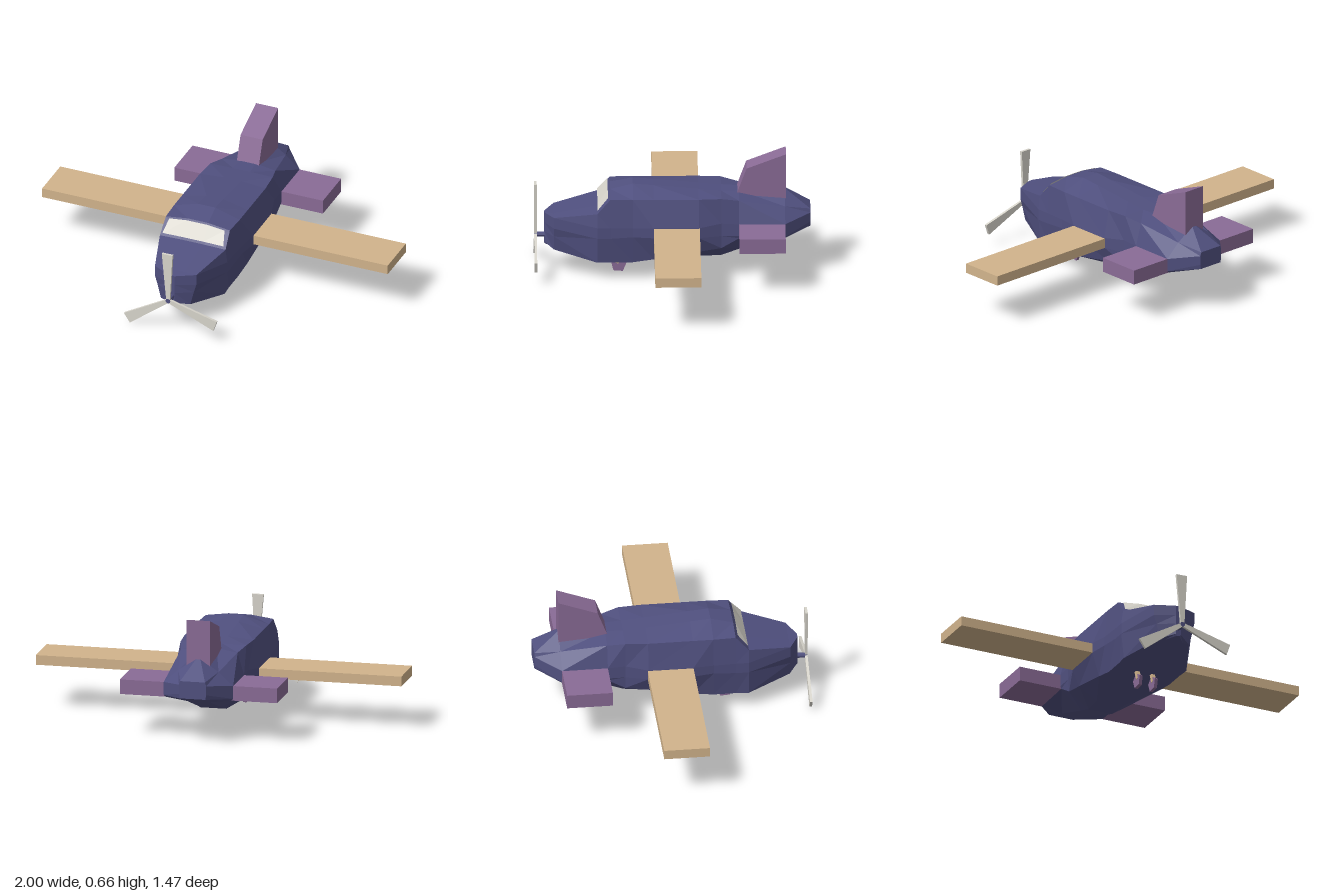
import * as THREE from 'three';

const mat = (name, color, extra = {}) => {
  const m = new THREE.MeshStandardMaterial({ color, flatShading: true, ...extra });
  m.name = name;
  return m;
};

// Flat-shaded mesh from points and triangle indices
function facetGeometry(points, index) {
  const g = new THREE.BufferGeometry();
  g.setAttribute('position', new THREE.Float32BufferAttribute(points.flat(), 3));
  g.setIndex(index);
  const flat = g.toNonIndexed();
  flat.computeVertexNormals();
  return flat;
}

// Half sections, nose to tail: z, then [x, y] for roof, shoulder, upper side, lower side, chine, keel
const SECTIONS = [
  [0.68, [0.008, 0.325], [0.015, 0.325], [0.015, 0.27], [0.015, 0.22], [0.015, 0.16], [0.008, 0.15]],
  [0.63, [0.05, 0.332], [0.12, 0.33], [0.12, 0.27], [0.105, 0.22], [0.085, 0.14], [0.05, 0.14]],
  [0.40, [0.06, 0.378], [0.19, 0.375], [0.20, 0.30], [0.20, 0.24], [0.185, 0.10], [0.10, 0.10]],
  [0.33, [0.06, 0.472], [0.185, 0.455], [0.20, 0.30], [0.20, 0.24], [0.18, 0.10], [0.10, 0.10]],
  [0.21, [0.05, 0.498], [0.19, 0.455], [0.205, 0.30], [0.205, 0.25], [0.18, 0.10], [0.10, 0.10]],
  [0.10, [0.05, 0.489], [0.19, 0.455], [0.223, 0.305], [0.223, 0.25], [0.185, 0.118], [0.10, 0.10]],
  [-0.14, [0.05, 0.467], [0.19, 0.455], [0.222, 0.305], [0.222, 0.25], [0.185, 0.16], [0.08, 0.10]],
  [-0.26, [0.05, 0.457], [0.18, 0.455], [0.19, 0.32], [0.19, 0.25], [0.185, 0.18], [0.07, 0.10]],
  [-0.355, [0.04, 0.455], [0.155, 0.436], [0.19, 0.315], [0.19, 0.25], [0.185, 0.235], [0.065, 0.133]],
  [-0.60, [0.01, 0.455], [0.11, 0.387], [0.19, 0.315], [0.19, 0.245], [0.18, 0.235], [0.06, 0.218]],
  [-0.735, [0.03, 0.36], [0.068, 0.36], [0.075, 0.34], [0.075, 0.29], [0.07, 0.265], [0.04, 0.265]],
];

function fuselageGeometry() {
  const points = [], index = [], n = 12;
  for (const [z, ...half] of SECTIONS) {
    half.forEach(([x, y]) => points.push([x, y, z]));
    [...half].reverse().forEach(([x, y]) => points.push([-x, y, z]));
  }
  const last = (SECTIONS.length - 1) * n;
  for (let i = 0; i < last; i += n) {
    for (let j = 0; j < n; j++) {
      const k = (j + 1) % n;
      // mirror the diagonal so both sides match
      if (j < n / 2) index.push(i + j, i + k, i + n + k, i + j, i + n + k, i + n + j);
      else index.push(i + j, i + k, i + n + j, i + k, i + n + k, i + n + j);
    }
  }
  for (let j = 1; j < n - 1; j++) {
    index.push(0, j + 1, j, last, last + j, last + j + 1);
  }
  return facetGeometry(points, index);
}

// Thin glass strip lying on the sloped face in front of the cabin
function windshieldGeometry() {
  const lower = [-0.176, -0.06, 0.06, 0.176], upper = [-0.160, -0.06, 0.06, 0.160];
  const points = [], index = [];
  const put = (x, t) => {
    const top = 0.472 - Math.max(0, Math.abs(x) - 0.06) * 0.136;
    points.push([x, 0.377 + (top - 0.377) * t + 0.005, 0.40 - 0.07 * t + 0.006]);
  };
  lower.forEach((x, i) => { put(x, 0.12); put(upper[i], 0.9); });
  for (let i = 0; i < 6; i += 2) index.push(i, i + 2, i + 3, i, i + 3, i + 1);
  return facetGeometry(points, index);
}

function extrude(points, depth) {
  const shape = new THREE.Shape(points.map(([x, y]) => new THREE.Vector2(x, y)));
  const g = new THREE.ExtrudeGeometry(shape, { depth, bevelEnabled: false });
  return g.translate(0, 0, -depth / 2);
}

export function createModel() {
  const model = new THREE.Group();
  model.name = 'airplane';
  const navy = mat('navy body', 0x50507f);
  const purple = mat('purple tail', 0x8a6b96);
  const tan = mat('tan wing', 0xd2b48c);
  const pale = mat('pale grey', 0xd8d5cc, { side: THREE.DoubleSide });

  const add = (name, geometry, material, parent = model) => {
    const mesh = new THREE.Mesh(geometry, material);
    mesh.name = name;
    parent.add(mesh);
    return mesh;
  };
  const box = (name, material, x0, x1, y0, y1, z0, z1) =>
    add(name, new THREE.BoxGeometry(x1 - x0, y1 - y0, z1 - z0), material)
      .position.set((x0 + x1) / 2, (y0 + y1) / 2, (z0 + z1) / 2);

  add('fuselage', fuselageGeometry(), navy);
  add('windshield', windshieldGeometry(), pale);

  // Wings, tailplanes and landing gear on both sides
  for (const [side, s] of [['left', 1], ['right', -1]]) {
    const span = (a, b) => [Math.min(s * a, s * b), Math.max(s * a, s * b)];
    box(side + 'Wing', tan, ...span(0.15, 1), 0.25, 0.303, -0.145, 0.10);
    box(side + 'Tailplane', purple, ...span(0.06, 0.43), 0.235, 0.315, -0.60, -0.355);

    const wheel = add(side + 'Wheel', new THREE.CylinderGeometry(0.043, 0.043, 0.018, 5), purple);
    wheel.geometry.rotateZ(Math.PI / 2).rotateX(-1.65);
    wheel.position.set(s * 0.045, 0.043, 0.285);
    const strut = add(side + 'Strut', new THREE.BoxGeometry(0.022, 0.07, 0.018), tan);
    strut.position.set(s * 0.045, 0.083, 0.282);
    strut.rotation.x = -0.35;
  }

  // Upright tail fin
  const fin = extrude([[0.345, 0.45], [0.345, 0.40], [0.605, 0.40], [0.605, 0.665], [0.395, 0.585]], 0.128);
  add('tailFin', fin.rotateY(Math.PI / 2), purple);

  // Propeller: shaft and three flaring blades
  const propeller = new THREE.Group();
  propeller.name = 'propeller';
  propeller.position.set(0, 0.197, 0.727);
  model.add(propeller);
  const shaft = add('shaft', new THREE.CylinderGeometry(0.014, 0.014, 0.075, 8), navy, propeller);
  shaft.rotation.x = Math.PI / 2;
  shaft.position.z = -0.03;
  [91, 214, 341].forEach((deg, i) => {
    const blade = add('blade' + (i + 1),
      extrude([[0, -0.01], [0.287, -0.031], [0.287, 0.031], [0, 0.01]], 0.014), pale, propeller);
    blade.rotation.z = THREE.MathUtils.degToRad(deg);
  });

  return model;
}
